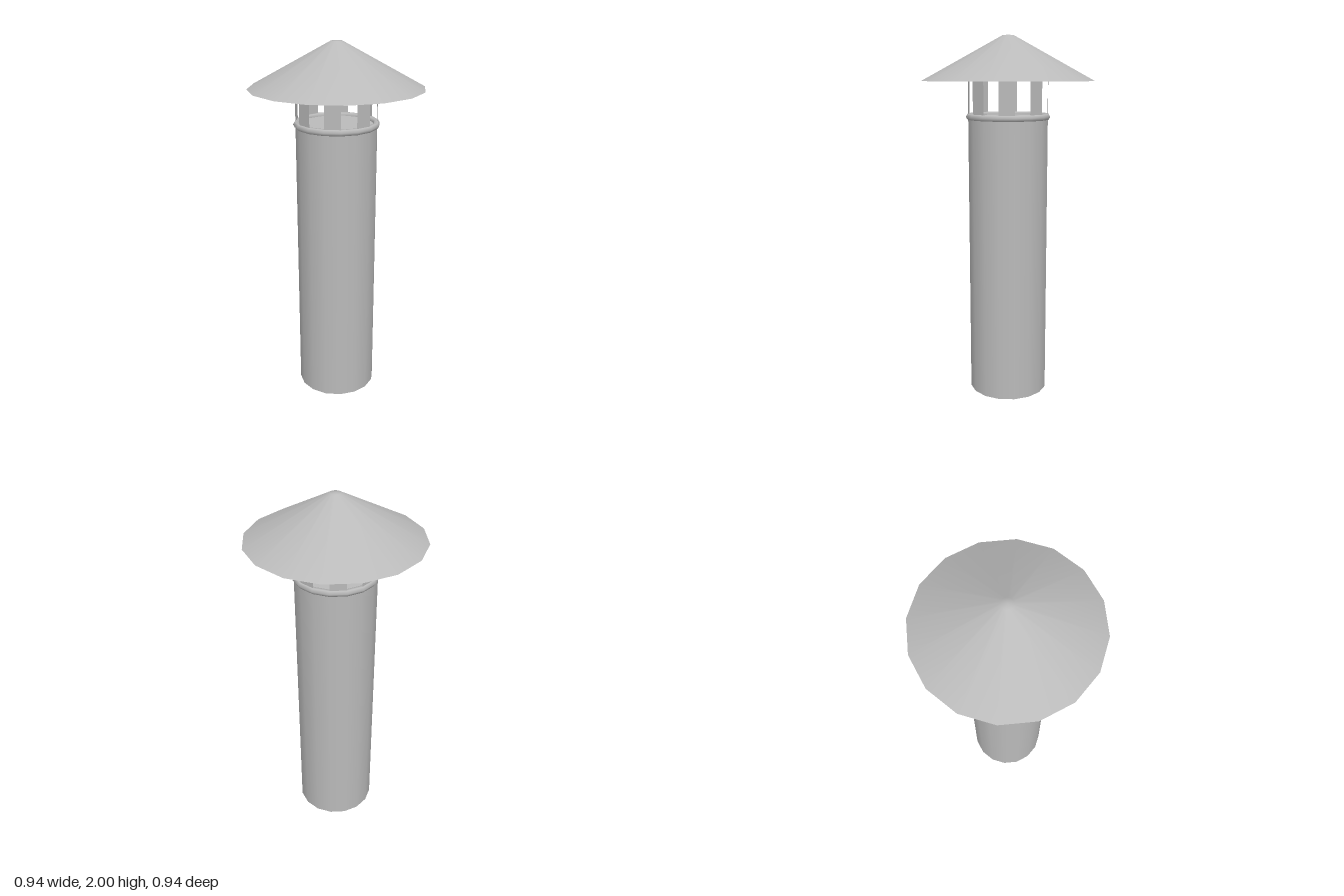
import * as THREE from 'three';

const SIDES = 16;
const PIPE_R = 0.22, PIPE_TOP = 1.57;
const CAP_R = 0.47, CAP_Y = 1.76;

export function createModel() {
  const group = new THREE.Group();
  const metal = new THREE.MeshStandardMaterial({ color: 0xbababa, side: THREE.DoubleSide });
  metal.name = 'galvanised grey';

  const add = (name, geometry, parent = group) => {
    const mesh = new THREE.Mesh(geometry, metal);
    mesh.name = name;
    parent.add(mesh);
    return mesh;
  };

  // Main flue, closed at both ends
  add('pipe', new THREE.CylinderGeometry(PIPE_R, PIPE_R, PIPE_TOP, SIDES))
    .position.y = PIPE_TOP / 2;

  // Bead around the pipe mouth
  const collar = add('collar', new THREE.TorusGeometry(0.215, 0.018, 6, SIDES));
  collar.rotation.x = Math.PI / 2;
  collar.position.y = PIPE_TOP;

  // Vent ring: every second side is a flat thin slat, the others are open
  const vent = new THREE.Group();
  vent.name = 'ventSlats';
  group.add(vent);
  const step = (Math.PI * 2) / SIDES;
  const height = CAP_Y - PIPE_TOP;
  for (let i = 0; i < SIDES; i += 2) {
    const slat = new THREE.CylinderGeometry(PIPE_R, PIPE_R, height, 1, 1, true, i * step, step).toNonIndexed();
    slat.computeVertexNormals();
    add('slat', slat, vent).position.y = PIPE_TOP + height / 2;
  }

  // Conical rain cap with a small blunt tip
  const profile = [[CAP_R, CAP_Y], [0.03, 2], [0, 2]].map(([x, y]) => new THREE.Vector2(x, y));
  add('rainCap', new THREE.LatheGeometry(profile, SIDES));

  // Flat underside of the cap
  const under = add('capUnderside', new THREE.CircleGeometry(CAP_R, SIDES));
  under.rotation.x = Math.PI / 2;
  under.position.y = CAP_Y;

  return group;
}
